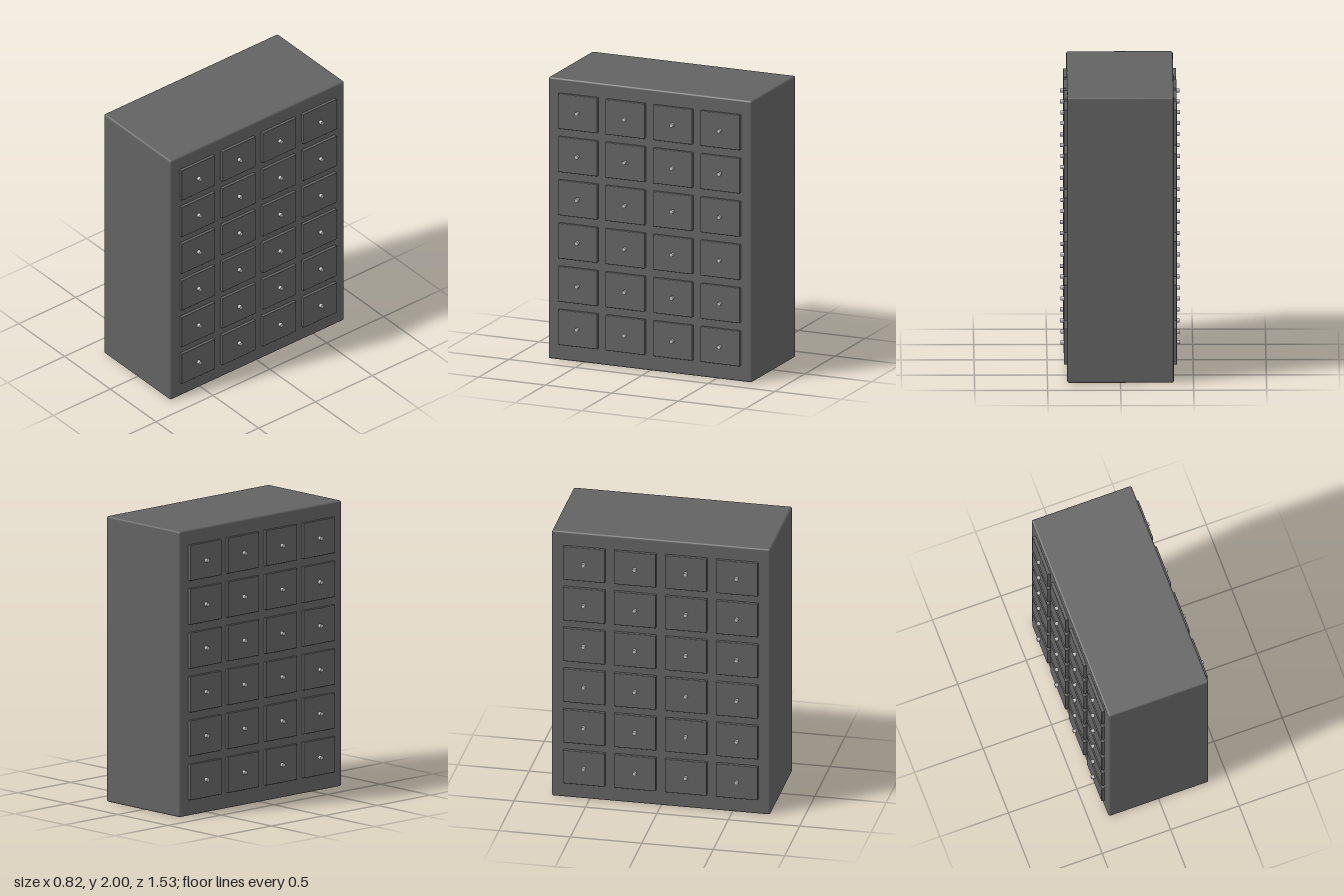
import * as THREE from 'three';
import { RoundedBoxGeometry } from 'three/addons/geometries/RoundedBoxGeometry.js';

export function createModel() {
  const cabinet = new THREE.Group();
  cabinet.name = 'drawerCabinet';

  const paint = new THREE.MeshStandardMaterial({ color: 0x626263 });
  paint.name = 'dark grey paint';
  const metal = new THREE.MeshStandardMaterial({ color: 0xc0c0c0 });
  metal.name = 'light grey metal';

  // Carcass with softly rounded edges
  const body = new THREE.Mesh(new RoundedBoxGeometry(0.73, 2, 1.53, 3, 0.014), paint);
  body.name = 'body';
  body.position.y = 1;
  cabinet.add(body);

  // Shared drawer parts
  const frontGeometry = new RoundedBoxGeometry(0.044, 0.25, 0.294, 2, 0.004);
  const knobGeometry = new THREE.CylinderGeometry(0.014, 0.014, 0.03, 12);
  knobGeometry.rotateZ(Math.PI / 2);

  // Six rows of four drawers on both broad sides
  for (const side of [-1, 1]) {
    for (let row = 0; row < 6; row++) {
      for (let column = 0; column < 4; column++) {
        const drawer = new THREE.Group();
        drawer.name = 'drawer';
        drawer.position.set(side * 0.365, 0.237 + row * 0.307, (column - 1.5) * 0.357);

        const front = new THREE.Mesh(frontGeometry, paint);
        front.name = 'drawerFront';
        const knob = new THREE.Mesh(knobGeometry, metal);
        knob.name = 'drawerKnob';
        knob.position.x = side * 0.03;

        drawer.add(front, knob);
        cabinet.add(drawer);
      }
    }
  }
  return cabinet;
}
